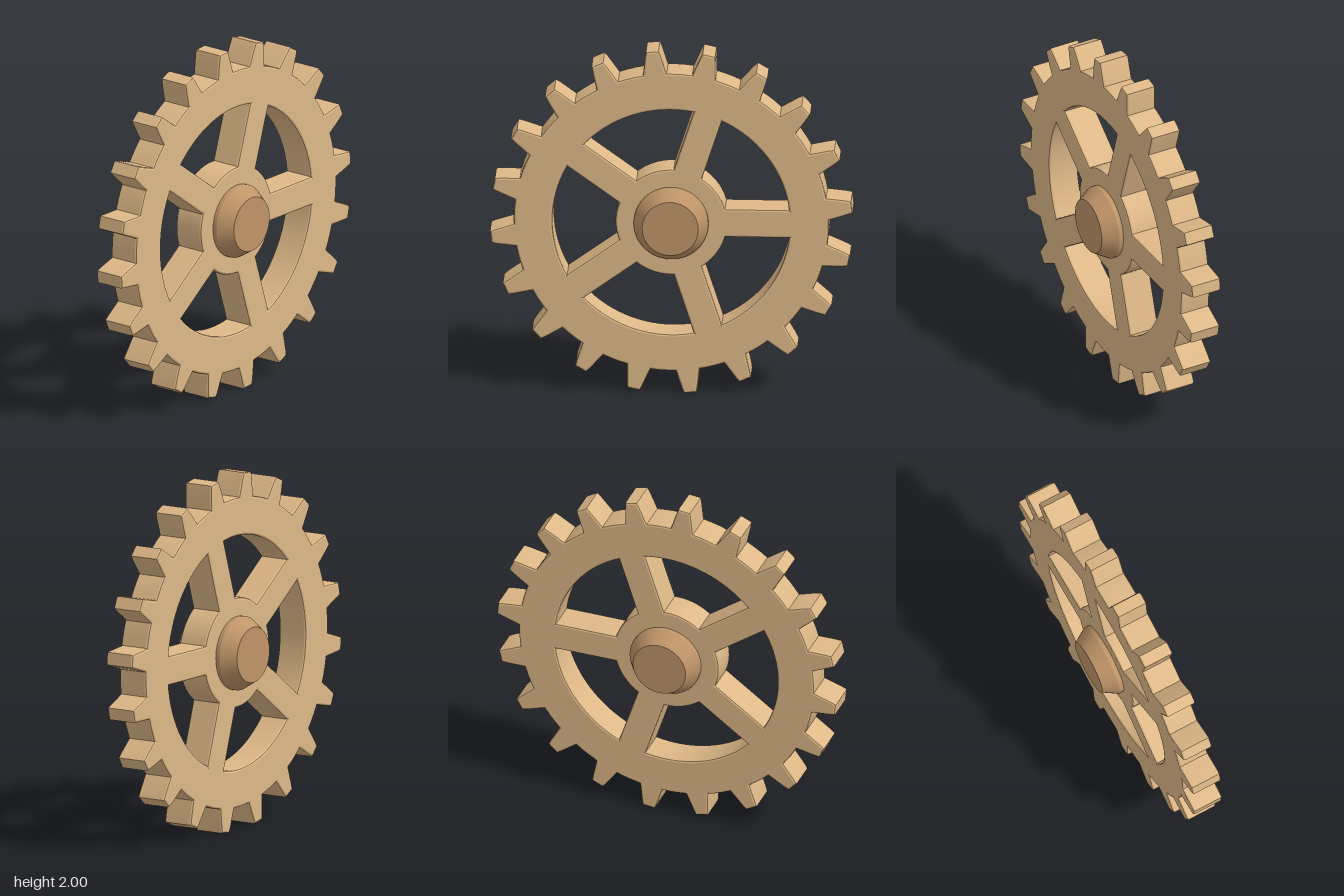
import * as THREE from 'three';
import { toCreasedNormals } from 'three/addons/utils/BufferGeometryUtils.js';

const TEETH = 20, SPOKES = 5;
const ROOT_R = 0.87, TOOTH_PHASE = Math.PI / 30;
const RIM_R = 0.655, RING_R = 0.308, SPOKE_HALF = 0.082;
const THICKNESS = 0.18, BEVEL = 0.012;

const polar = (r, a) => new THREE.Vector2(r * Math.cos(a), r * Math.sin(a));

// Points along an arc, both ends included
function arc(r, a0, a1, n) {
  return Array.from({ length: n + 1 }, (_, i) => polar(r, a0 + (a1 - a0) * i / n));
}

// Toothed outline: tapered teeth with chamfered tips, arcs in the valleys
function gearOutline() {
  const half = [[0.867, -0.066], [0.972, -0.044], [1.0015, -0.035]];
  const tooth = [...half, ...half.map(([r, w]) => [r, -w]).reverse()];
  const pitch = Math.PI * 2 / TEETH;
  const rootAngle = Math.atan2(0.066, 0.867);
  const pts = [];
  for (let i = 0; i < TEETH; i++) {
    const a = TOOTH_PHASE + i * pitch;
    for (const [r, w] of tooth) pts.push(new THREE.Vector2(r, w).rotateAround(new THREE.Vector2(), a));
    pts.push(...arc(ROOT_R, a + rootAngle, a + pitch - rootAngle, 3).slice(1, -1));
  }
  return pts;
}

// Opening between two neighbouring straight-sided spokes
function windowOutline(i) {
  const step = Math.PI * 2 / SPOKES, a0 = i * step, a1 = a0 + step;
  const outer = Math.asin(SPOKE_HALF / RIM_R), inner = Math.asin(SPOKE_HALF / RING_R);
  return [
    ...arc(RIM_R, a0 + outer, a1 - outer, 20),
    ...arc(RING_R, a1 - inner, a0 + inner, 12),
  ];
}

function makeGearWheel() {
  const shape = new THREE.Shape(gearOutline());
  for (let i = 0; i < SPOKES; i++) shape.holes.push(new THREE.Path(windowOutline(i).reverse()));
  const depth = THICKNESS - 2 * BEVEL;
  const geo = new THREE.ExtrudeGeometry(shape, {
    depth, bevelEnabled: true, bevelSegments: 2,
    bevelSize: BEVEL, bevelThickness: BEVEL, bevelOffset: -BEVEL,
  });
  geo.translate(0, 0, -depth / 2);
  const mesh = new THREE.Mesh(toCreasedNormals(geo, 0.35), new THREE.MeshStandardMaterial({ color: 0xdeb887 }));
  mesh.name = 'gearWheel';
  return mesh;
}

// Axle boss: short cylinder with a conical chamfer at each end
function makeAxle() {
  const profile = [[0, -0.198], [0.155, -0.198], [0.206, -0.115], [0.206, 0.115], [0.155, 0.198], [0, 0.198]]
    .map(([r, y]) => new THREE.Vector2(r, y));
  const geo = new THREE.LatheGeometry(profile, 48);
  geo.rotateX(Math.PI / 2);
  const mesh = new THREE.Mesh(toCreasedNormals(geo, 0.4), new THREE.MeshStandardMaterial({ color: 0xbf9468 }));
  mesh.name = 'axle';
  return mesh;
}

export function createModel() {
  const model = new THREE.Group();
  model.name = 'spokedGear';
  const gear = new THREE.Group();
  gear.name = 'gear';
  gear.add(makeGearWheel(), makeAxle());
  gear.position.y = 1;
  model.add(gear);
  return model;
}
